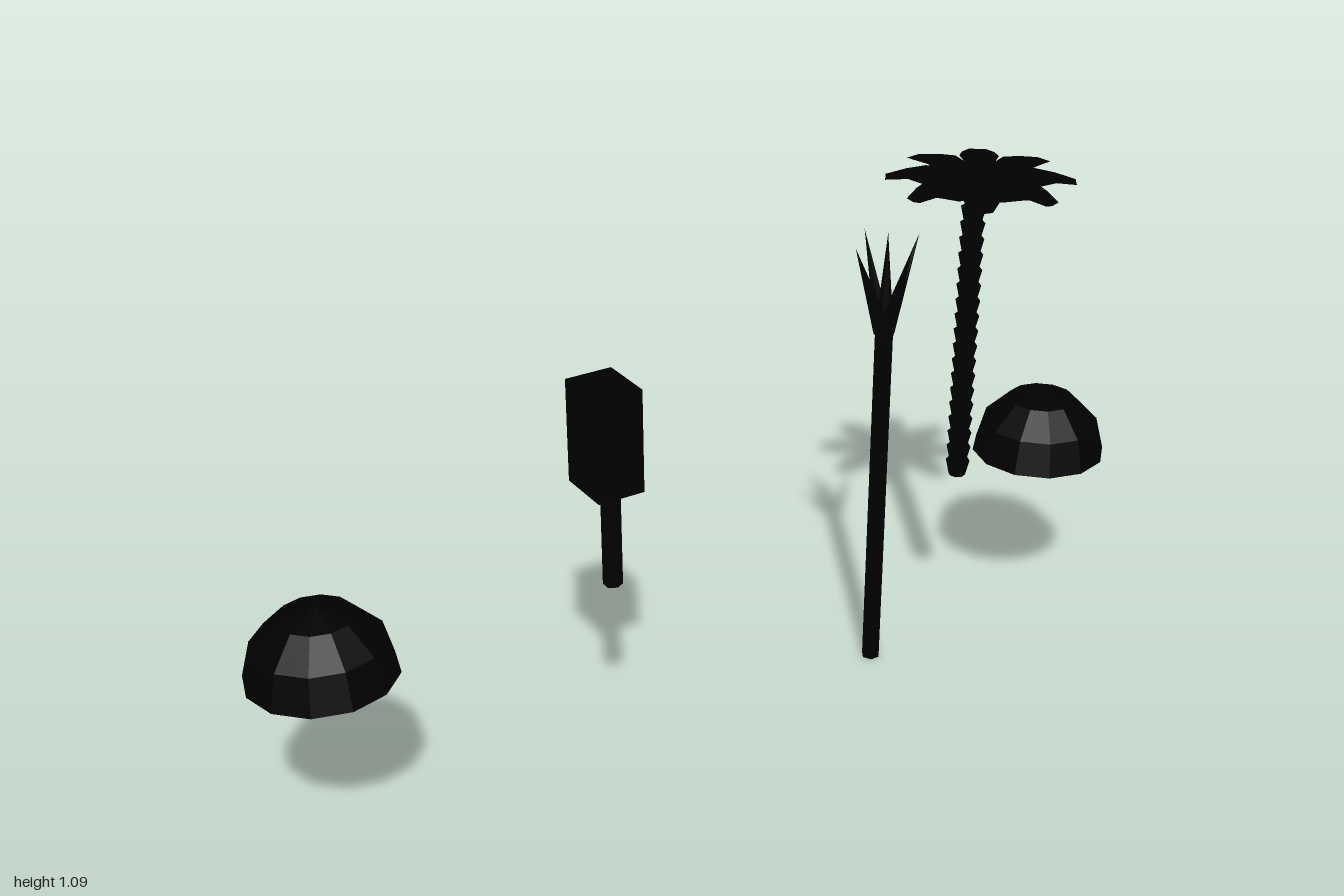
import * as THREE from 'three';

const material = new THREE.MeshStandardMaterial({ color: 0x000000, flatShading: true, side: THREE.DoubleSide });
const Z = -0.012; // shared depth line of the plants

function add(parent, name, geometry, x = 0, y = 0, z = 0) {
  const mesh = new THREE.Mesh(geometry, material);
  mesh.name = name;
  mesh.position.set(x, y, z);
  parent.add(mesh);
  return mesh;
}

// One palm leaf along +x: triangular cross-sections with a keel underneath
function leafGeometry() {
  // [distance, half width, edge height, keel height]
  const sections = [
    [0, 0.012, 0.045, 0],
    [0.06, 0.027, 0.053, 0.008],
    [0.11, 0.041, 0.054, 0.026],
    [0.15, 0.033, 0.049, 0.039],
    [0.192, 0.018, 0.041, 0.038],
  ];
  const positions = [], index = [];
  for (const [r, w, edge, keel] of sections) positions.push(r, edge, -w, r, edge, w, r, keel, 0);
  for (let i = 0; i < sections.length - 1; i++) {
    for (let j = 0; j < 3; j++) {
      const a = i * 3 + j, b = i * 3 + (j + 1) % 3;
      index.push(a, b, a + 3, b, b + 3, a + 3);
    }
  }
  const e = (sections.length - 1) * 3;
  index.push(0, 2, 1, e, e + 1, e + 2);
  const geometry = new THREE.BufferGeometry();
  geometry.setAttribute('position', new THREE.Float32BufferAttribute(positions, 3));
  geometry.setIndex(index);
  geometry.computeVertexNormals();
  return geometry;
}

// Half-sphere bush with a flat underside
function makeBush(x) {
  const bush = new THREE.Group();
  bush.name = 'bush';
  bush.position.set(x, 0.395, Z);
  add(bush, 'bushDome', new THREE.SphereGeometry(0.146, 12, 3, 0, Math.PI * 2, 0, Math.PI / 2));
  add(bush, 'bushBase', new THREE.CircleGeometry(0.146, 12)).rotation.x = Math.PI / 2;
  return bush;
}

// Boxy tree on a thin post
function makeBoxTree() {
  const tree = new THREE.Group();
  tree.name = 'boxTree';
  tree.position.set(-0.244, 0, Z);
  add(tree, 'boxTreePost', new THREE.CylinderGeometry(0.02, 0.02, 0.24, 6), 0.005, 0.512, 0);
  add(tree, 'boxTreeCrown', new THREE.BoxGeometry(0.1, 0.217, 0.119), -0.003, 0.7215, 0);
  return tree;
}

// Tall tree: six-sided trunk with a crown of spikes
function makeSpikeTree() {
  const tree = new THREE.Group();
  tree.name = 'spikeTree';
  tree.position.set(0.409, 0, Z);
  add(tree, 'spikeTreeTrunk', new THREE.CylinderGeometry(0.02, 0.02, 0.8, 6), 0, 0.4, 0).rotation.y = Math.PI / 6;
  const spike = new THREE.ConeGeometry(0.019, 0.21, 6).translate(0, 0.105, 0);
  add(tree, 'centreSpike', spike, 0, 0.788, 0);
  for (let i = 0; i < 4; i++) {
    const pivot = new THREE.Group();
    pivot.name = 'spikeArm';
    pivot.rotation.y = i * Math.PI / 2;
    add(pivot, 'leaningSpike', spike, 0.004, 0.785, 0).rotation.z = -0.365;
    tree.add(pivot);
  }
  return tree;
}

// Palm: stacked flaring trunk rings and eight leaves
function makePalm() {
  const palm = new THREE.Group();
  palm.name = 'palmTree';
  const rings = 19, bottom = 0.395, step = (1.045 - bottom) / rings;
  const ring = new THREE.CylinderGeometry(0.026, 0.018, step, 8);
  for (let i = 0; i < rings; i++) add(palm, 'palmTrunkRing', ring, 0.625, bottom + (i + 0.5) * step, Z);
  const leaf = leafGeometry();
  for (let i = 0; i < 8; i++) {
    add(palm, 'palmLeaf', leaf, 0.628, 1.031, 0).rotation.y = THREE.MathUtils.degToRad(8 + i * 45);
  }
  return palm;
}

export function createModel() {
  const model = new THREE.Group();
  model.name = 'plantSet';
  model.add(makeBush(-0.854), makeBush(0.854), makeBoxTree(), makeSpikeTree(), makePalm());
  return model;
}
